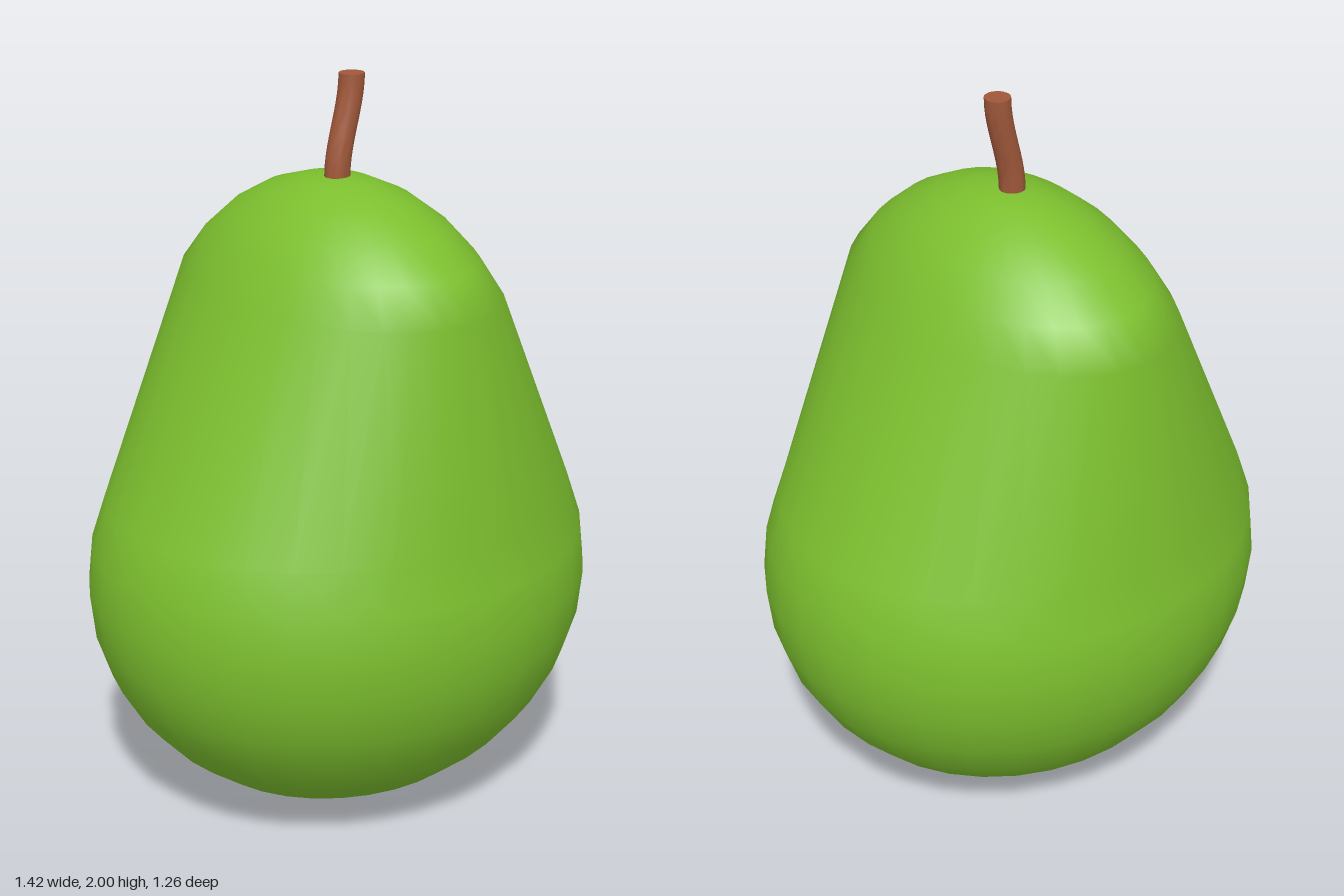
import * as THREE from 'three';
import { mergeVertices, toCreasedNormals } from 'three/addons/utils/BufferGeometryUtils.js';

// Scaled sphere whose upper cap is lifted and squeezed in x to form the neck
function bodyGeometry() {
  const sphere = new THREE.SphereGeometry(1, 32, 16);
  sphere.deleteAttribute('uv');
  sphere.deleteAttribute('normal');
  const geometry = mergeVertices(sphere, 1e-4);
  const pos = geometry.attributes.position;
  for (let i = 0; i < pos.count; i++) {
    const y = pos.getY(i);
    const neck = y > 0.5;
    pos.setXYZ(
      i,
      pos.getX(i) * 0.71 * (neck ? 0.6 : 1),
      0.635 + y * 0.635 + (neck ? 0.47 : 0),
      pos.getZ(i) * 0.63
    );
  }
  geometry.computeVertexNormals();
  return geometry;
}

// Upright cylinder sheared along a soft S-curve, keeping both ends level
function stemGeometry() {
  const bottom = 1.735, top = 2;
  const geometry = new THREE.CylinderGeometry(0.034, 0.034, top - bottom, 20, 10);
  geometry.translate(0, (top + bottom) / 2, 0);
  const pos = geometry.attributes.position;
  for (let i = 0; i < pos.count; i++) {
    const lean = THREE.MathUtils.smoothstep(pos.getY(i), bottom, top);
    pos.setX(i, pos.getX(i) - 0.005 + 0.047 * lean);
  }
  return toCreasedNormals(geometry, Math.PI / 4);
}

export function createModel() {
  const group = new THREE.Group();
  group.name = 'pear';

  const add = (name, geometry, color) => {
    const mesh = new THREE.Mesh(geometry, new THREE.MeshStandardMaterial({ color }));
    mesh.name = name;
    group.add(mesh);
  };

  add('body', bodyGeometry(), 0x7cbf2e);
  add('stem', stemGeometry(), 0xa0583a);
  return group;
}
